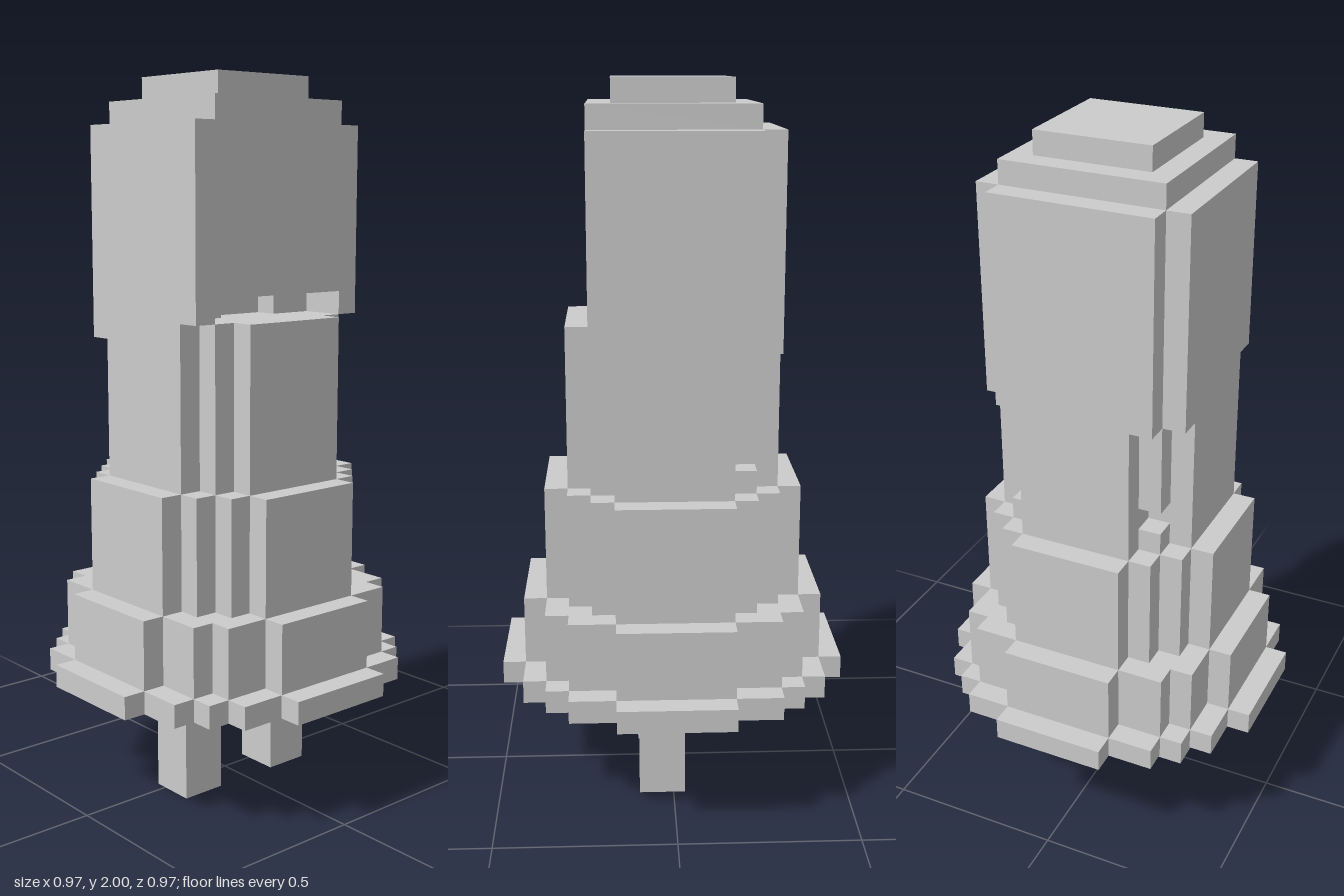
import * as THREE from 'three';

const U = 2 / 31; // one block
const material = new THREE.MeshStandardMaterial({ color: 0xcccccc, flatShading: true });

// Corner points of a stepped quadrant; steps are [halfWidth, depth] from the middle outwards
function quadrant(steps) {
  const points = [];
  steps.forEach(([x, z], i) => {
    points.push([x, z]);
    if (i < steps.length - 1) points.push([x, steps[i + 1][1]]);
  });
  return points;
}

// Slab with a stepped outline, mirrored left to right, between block heights y0 and y1
function slab(name, y0, y1, front, back = front) {
  const side = [
    ...quadrant(front),
    ...quadrant(back).reverse().map(([x, z]) => [x, -z]),
  ];
  const outline = [...side, ...side.slice().reverse().map(([x, z]) => [-x, z])];
  const shape = new THREE.Shape(outline.map(([x, z]) => new THREE.Vector2(x * U, -z * U)));
  const geometry = new THREE.ExtrudeGeometry(shape, { depth: (y1 - y0) * U, bevelEnabled: false });
  geometry.rotateX(-Math.PI / 2);
  const mesh = new THREE.Mesh(geometry, material);
  mesh.name = name;
  mesh.position.y = y0 * U;
  return mesh;
}

export function createModel() {
  const model = new THREE.Group();
  model.name = 'blockFigure';

  // Legs
  for (const s of [1, -1]) {
    const leg = new THREE.Mesh(new THREE.BoxGeometry(2 * U, 5 * U, 2 * U), material);
    leg.name = s > 0 ? 'leftLeg' : 'rightLeg';
    leg.position.set(s * 2.5 * U, 2.5 * U, 0.5 * U);
    model.add(leg);
  }

  // Robe, narrowing upwards in rounded tiers
  model.add(slab('robeHem', 5, 6, [[2.5, 7.5], [4.5, 6.5], [5.5, 5.5], [6.5, 4.5], [7.5, 2.5]]));
  model.add(slab('robeSkirt', 6, 9, [[2.5, 6.5], [4.5, 5.5], [5.5, 4.5], [6.5, 2.5]]));
  model.add(slab('robeWaist', 9, 14, [[2.5, 5.5], [3.5, 4.5], [4.5, 3.5], [5.5, 2.5]]));

  // Chest, with a gap in the back corners and the hood hanging over its top
  const chest = [[2.5, 4.5], [3.5, 3.5], [4.5, 2.5]];
  const hoodBack = [[3.5, 4.5], [4.5, 3.5]];
  model.add(slab('lowerChest', 14, 15, chest));
  model.add(slab('chestGap', 15, 16, chest, [[2.5, 4.5], [4.5, 2.5]]));
  model.add(slab('upperChest', 16, 20, chest));
  model.add(slab('shoulders', 20, 21, chest, hoodBack));

  // Hood, with a recess under its front edge
  model.add(slab('hoodOpening', 21, 22, [[1.5, 0.5], [3.5, 1.5], [4.5, 3.5]], hoodBack));
  model.add(slab('hood', 22, 29, [[4.5, 3.5]], hoodBack));
  model.add(slab('hoodCrown', 29, 30, [[3.5, 3.5]]));
  model.add(slab('hoodTop', 30, 31, [[2.5, 2.5]]));

  return model;
}
